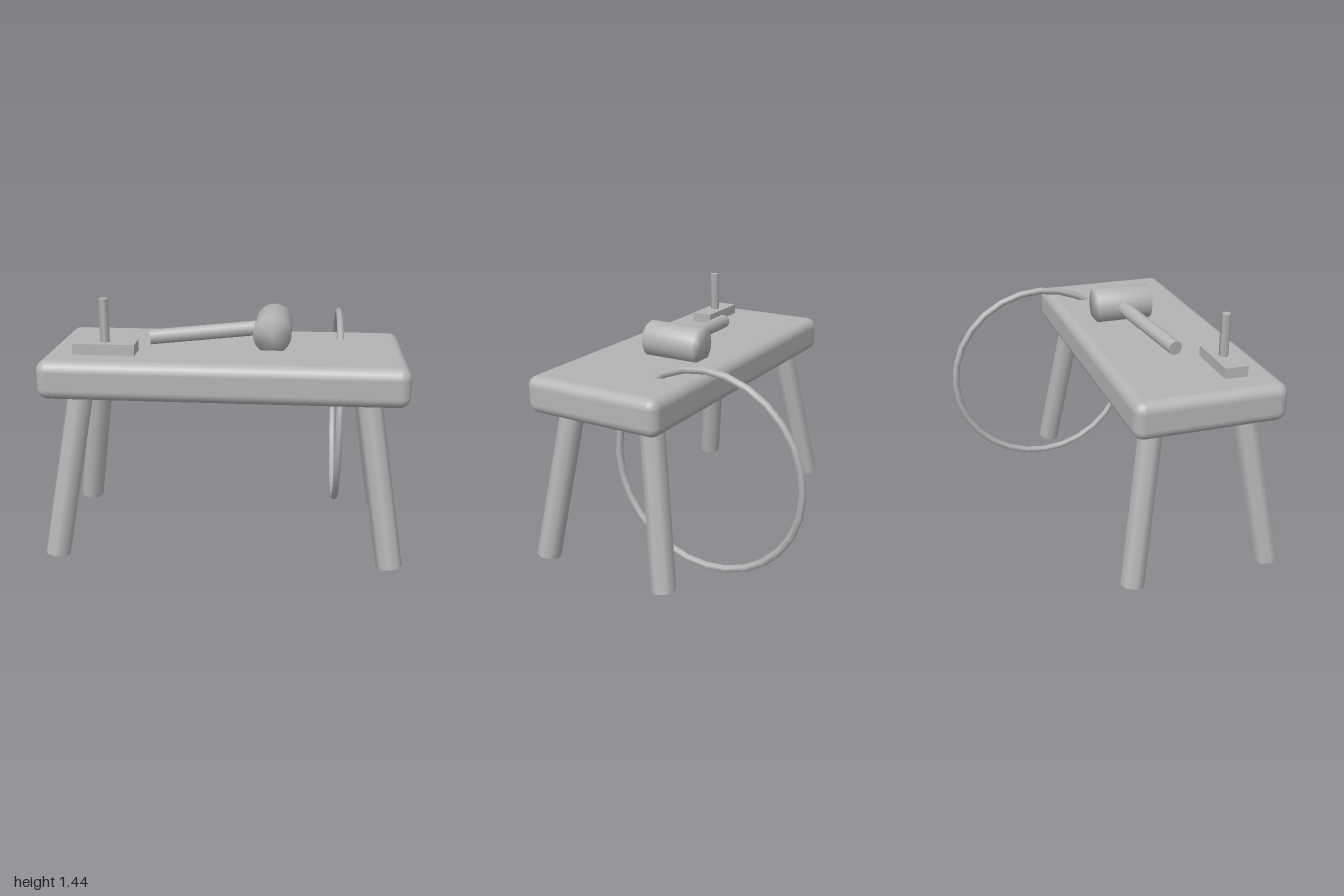
import * as THREE from 'three';
import { RoundedBoxGeometry } from 'three/addons/geometries/RoundedBoxGeometry.js';
import { mergeVertices } from 'three/addons/utils/BufferGeometryUtils.js';

const clay = new THREE.MeshStandardMaterial({ color: 0xb4b4b4 });
clay.name = 'plain grey';

function add(parent, name, geometry, x = 0, y = 0, z = 0) {
  const mesh = new THREE.Mesh(geometry, clay);
  mesh.name = name;
  mesh.position.set(x, y, z);
  parent.add(mesh);
  return mesh;
}

// Cylinder running between two points
function addRod(parent, name, from, to, radius, sides) {
  const a = new THREE.Vector3(...from), b = new THREE.Vector3(...to);
  const dir = b.clone().sub(a);
  const rod = add(parent, name, new THREE.CylinderGeometry(radius, radius, dir.length(), sides));
  rod.position.copy(a).add(b).multiplyScalar(0.5);
  rod.quaternion.setFromUnitVectors(new THREE.Vector3(0, 1, 0), dir.normalize());
  return rod;
}

// Share vertices so shading runs softly over the rims
function soften(geometry) {
  geometry.deleteAttribute('normal');
  geometry.deleteAttribute('uv');
  const merged = mergeVertices(geometry, 1e-4);
  merged.computeVertexNormals();
  return merged;
}

export function createModel() {
  const model = new THREE.Group();
  model.name = 'workbench';
  const midZ = 0.318;

  // Thick rounded bench top
  add(model, 'benchTop', new RoundedBoxGeometry(1.98, 0.215, 0.856, 3, 0.06), 0, 1.0325, midZ);

  // Four splayed legs
  for (const sx of [-1, 1]) {
    for (const sz of [-1, 1]) {
      addRod(model, (sz > 0 ? 'front' : 'back') + (sx > 0 ? 'Left' : 'Right') + 'Leg',
        [sx * 0.928, 0.016, midZ + sz * 0.408],
        [sx * 0.775, 0.98, midZ + sz * 0.258], 0.07, 8);
    }
  }

  // Small block with an upright peg
  add(model, 'pegBlock', new THREE.BoxGeometry(0.34, 0.06, 0.13), -0.65, 1.17, 0.51);
  add(model, 'peg', new THREE.CylinderGeometry(0.028, 0.028, 0.26, 5), -0.65, 1.31, 0.51);

  // Mallet lying on the bench
  const mallet = new THREE.Group();
  mallet.name = 'mallet';
  model.add(mallet);
  addRod(mallet, 'malletHandle', [-0.437, 1.182, 0.318], [0.25, 1.231, 0.208], 0.042, 12);
  const headGeometry = new THREE.CylinderGeometry(0.106, 0.106, 0.342, 24);
  headGeometry.rotateX(Math.PI / 2);
  add(mallet, 'malletHead', soften(headGeometry), 0.255, 1.226, 0.23);

  // Upright hoop passing through the back of the bench
  const hoop = add(model, 'hoop', new THREE.TorusGeometry(0.582, 0.022, 6, 28), 0.642, 0.643, -0.195);
  hoop.rotation.y = Math.PI / 2;

  return model;
}
